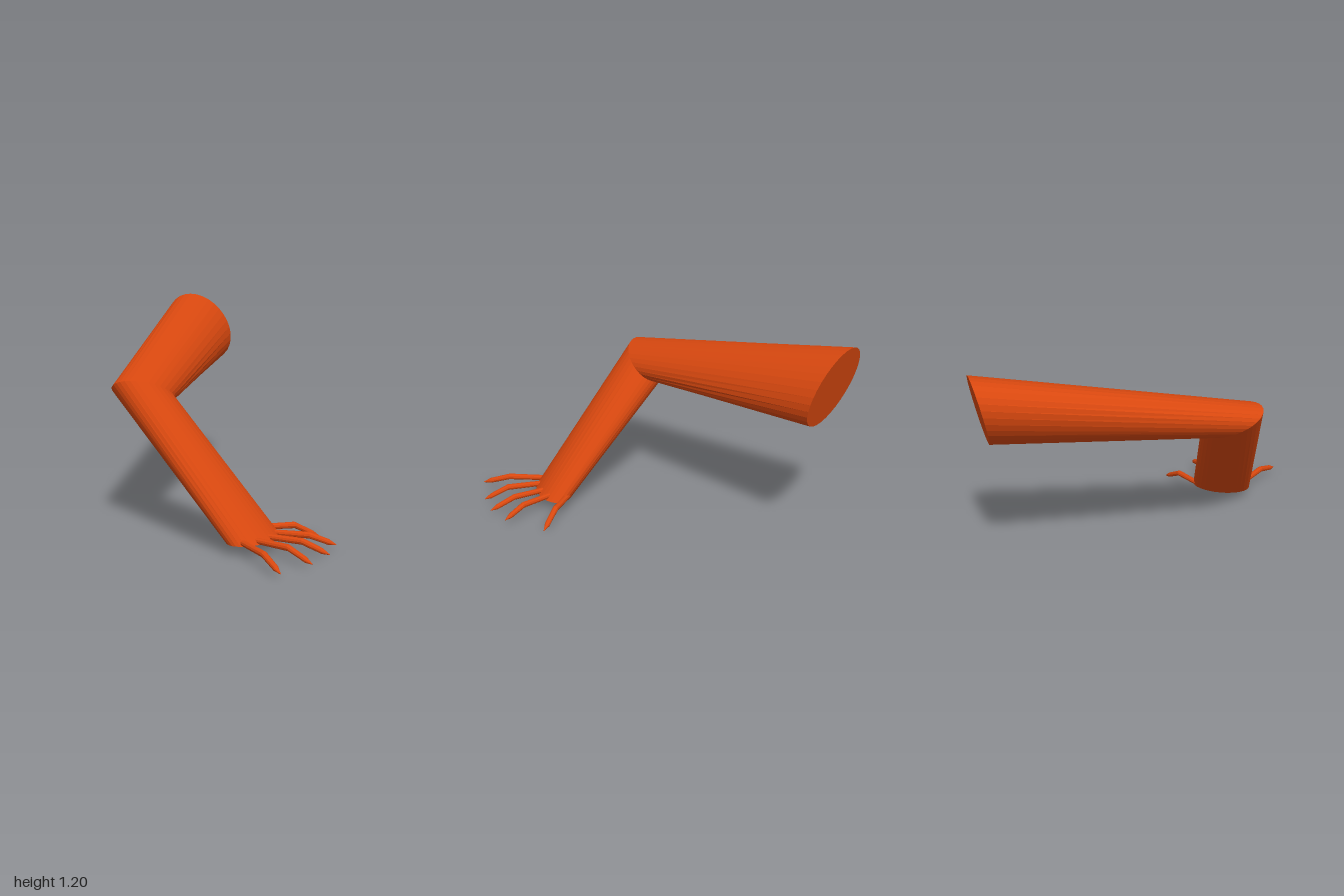
import * as THREE from 'three';

// Lofts closed elliptical rings { c, u, v } (centre and two half-axis vectors) and caps both ends.
function loft(rings, sides) {
  const pos = [], idx = [];
  for (const { c, u, v } of rings) {
    for (let i = 0; i < sides; i++) {
      const t = (i / sides) * Math.PI * 2;
      const p = c.clone().addScaledVector(u, Math.cos(t)).addScaledVector(v, Math.sin(t));
      pos.push(p.x, p.y, p.z);
    }
  }
  for (let k = 0; k < rings.length - 1; k++) {
    for (let i = 0; i < sides; i++) {
      const j = (i + 1) % sides;
      const a = k * sides + i, b = k * sides + j;
      idx.push(a, b, a + sides, b, b + sides, a + sides);
    }
  }
  const last = (rings.length - 1) * sides;
  for (let i = 1; i < sides - 1; i++) {
    idx.push(0, i + 1, i);
    idx.push(last, last + i, last + i + 1);
  }
  const g = new THREE.BufferGeometry();
  g.setAttribute('position', new THREE.Float32BufferAttribute(pos, 3));
  g.setIndex(idx);
  const flat = g.toNonIndexed();
  flat.computeVertexNormals();
  return flat;
}

const V = (x, y, z) => new THREE.Vector3(x, y, z);

// Finger: base, knuckle and tip, with a short pointed end.
function fingerGeometry(base, knuckle, tip) {
  const d = V(tip.x - base.x, 0, tip.z - base.z).normalize();
  const side = V(0, 1, 0).cross(d);
  const root = base.clone().addScaledVector(d, -0.06);
  const nail = knuckle.clone().lerp(tip, 0.72);
  const stations = [[root, 0.016], [knuckle, 0.018], [nail, 0.016], [tip, 0.002]];
  return loft(stations.map(([c, r]) => ({
    c, u: side.clone().multiplyScalar(r), v: V(0, r, 0),
  })), 10);
}

export function createModel() {
  const group = new THREE.Group();
  group.name = 'arm';
  const skin = new THREE.MeshStandardMaterial({ color: 0xd9480f });
  skin.name = 'burnt orange';
  skin.flatShading = true;

  const add = (name, geometry) => {
    const mesh = new THREE.Mesh(geometry, skin);
    mesh.name = name;
    group.add(mesh);
  };

  // Shoulder, elbow and wrist sections
  const shoulder = { c: V(-0.815, 0.99, -0.625), u: V(0.164, 0, -0.115), v: V(-0.085, 0.2125, 0) };
  const elbow = { c: V(-0.075, 0.793, 0.56), u: V(0.109, 0, -0.113), v: V(0.05, 0.0925, 0.14) };
  const wrist = { c: V(0.567, 0.058, 0.365), u: V(0.085, 0, -0.115), v: V(0.07, 0.005, 0.139) };
  add('upperAndLowerArm', loft([shoulder, elbow, wrist], 32));

  // Thumb and four fingers
  const fingers = {
    thumb: [V(0.53, 0.077, 0.19), V(0.61, 0.077, 0.075), V(0.7, 0.003, -0.04)],
    indexFinger: [V(0.63, 0.077, 0.245), V(0.79, 0.08, 0.165), V(0.91, 0.035, 0.087)],
    middleFinger: [V(0.65, 0.077, 0.33), V(0.83, 0.082, 0.277), V(0.98, 0.033, 0.232)],
    ringFinger: [V(0.65, 0.077, 0.425), V(0.85, 0.085, 0.412), V(0.998, 0.028, 0.398)],
    littleFinger: [V(0.62, 0.077, 0.505), V(0.82, 0.08, 0.567), V(0.98, 0.033, 0.625)],
  };
  for (const [name, pts] of Object.entries(fingers)) add(name, fingerGeometry(...pts));

  return group;
}
